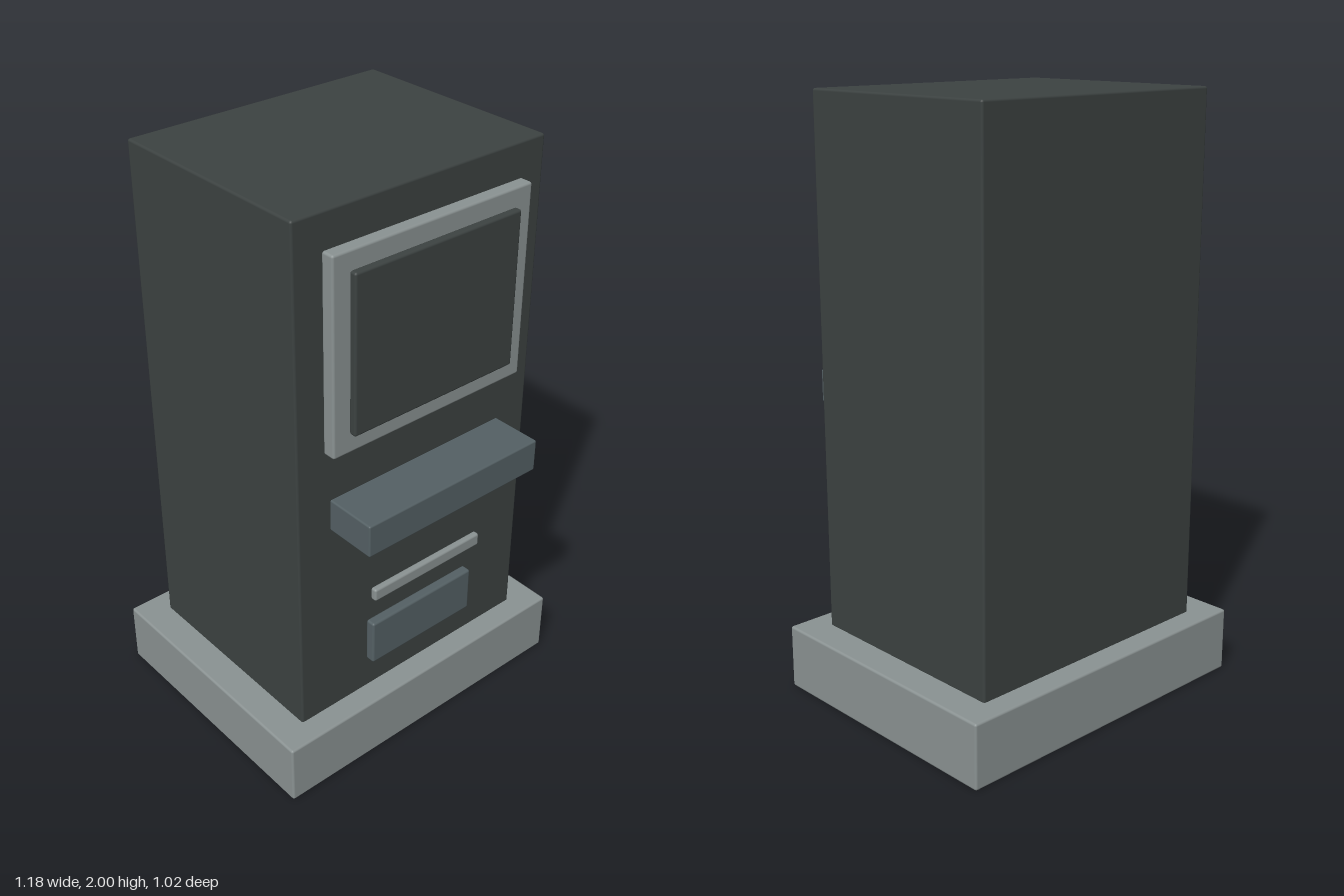
import * as THREE from 'three';
import { RoundedBoxGeometry } from 'three/addons/geometries/RoundedBoxGeometry.js';

function material(name, color) {
  const m = new THREE.MeshStandardMaterial({ color });
  m.name = name;
  return m;
}

export function createModel() {
  const group = new THREE.Group();
  group.name = 'kiosk';

  const charcoal = material('charcoal', 0x3c4241);
  const grey = material('light grey', 0x8a9292);
  const slate = material('slate', 0x546064);

  // Softly bevelled box, centred on x, given its y and z extents
  function block(name, mat, halfWidth, [y0, y1], [z0, z1], bevel) {
    const geometry = new RoundedBoxGeometry(halfWidth * 2, y1 - y0, z1 - z0, 2, bevel);
    const mesh = new THREE.Mesh(geometry, mat);
    mesh.name = name;
    mesh.position.set(0, (y0 + y1) / 2, (z0 + z1) / 2);
    group.add(mesh);
  }

  // Plinth and cabinet
  block('base', grey, 0.588, [0, 0.22], [-0.512, 0.415], 0.008);
  block('cabinet', charcoal, 0.48, [0.2, 2], [-0.432, 0.334], 0.008);

  // Display
  block('screenFrame', grey, 0.383, [1.24, 1.89], [0.338, 0.385], 0.008);
  block('screen', charcoal, 0.321, [1.304, 1.828], [0.38, 0.408], 0.008);

  // Keyboard shelf, slot and tray
  block('shelf', slate, 0.354, [0.945, 1.058], [0.32, 0.512], 0.006);
  block('slot', grey, 0.23, [0.639, 0.685], [0.38, 0.404], 0.008);
  block('tray', slate, 0.219, [0.36, 0.524], [0.348, 0.384], 0.008);

  return group;
}
